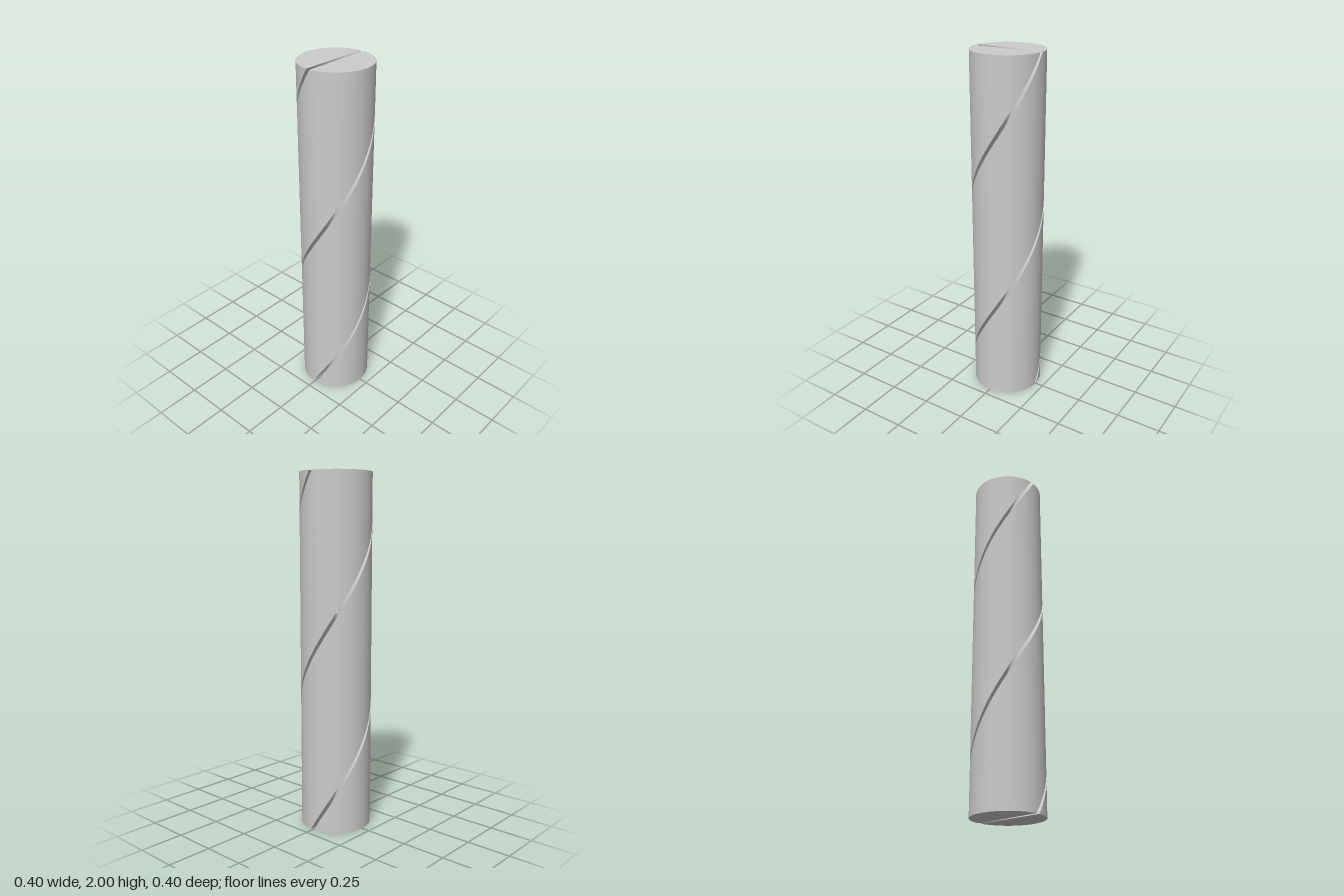
import * as THREE from 'three';
import { toCreasedNormals } from 'three/addons/utils/BufferGeometryUtils.js';

const RADIUS = 0.2, HEIGHT = 2, SLOT = 0.022;
const TWIST = Math.PI;   // radians per unit of height: one full turn overall
const START = -0.01;     // slot angle at the base

// Half-disc section, stopping half a slot width short of the axis
function halfSection() {
  const h = SLOT / 2, a0 = Math.asin(h / RADIUS), half = RADIUS * Math.cos(a0);
  const points = [];
  const arcSteps = 48, chordSteps = 10;
  for (let i = 0; i <= arcSteps; i++) {
    const a = a0 + (Math.PI - 2 * a0) * i / arcSteps;
    points.push(new THREE.Vector2(RADIUS * Math.cos(a), RADIUS * Math.sin(a)));
  }
  for (let i = 1; i < chordSteps; i++) {
    points.push(new THREE.Vector2(-half + 2 * half * i / chordSteps, h));
  }
  return new THREE.Shape(points);
}

// Extrude the section upwards and turn each level about the axis
function twistedHalf(phase) {
  const geometry = new THREE.ExtrudeGeometry(halfSection(), { depth: HEIGHT, steps: 180, bevelEnabled: false });
  geometry.rotateX(-Math.PI / 2);
  const pos = geometry.attributes.position;
  const axis = new THREE.Vector3(0, 1, 0), v = new THREE.Vector3();
  for (let i = 0; i < pos.count; i++) {
    v.fromBufferAttribute(pos, i);
    v.applyAxisAngle(axis, phase + START + TWIST * v.y);
    pos.setXYZ(i, v.x, v.y, v.z);
  }
  return toCreasedNormals(geometry, 0.6);
}

export function createModel() {
  const model = new THREE.Group();
  model.name = 'splitTwistedCylinder';
  const material = new THREE.MeshStandardMaterial({ color: 0xcccccc });
  // Two identical interlocking halves with a helical slot between them
  ['backHalf', 'frontHalf'].forEach((name, i) => {
    const mesh = new THREE.Mesh(twistedHalf(i * Math.PI), material);
    mesh.name = name;
    model.add(mesh);
  });
  return model;
}
